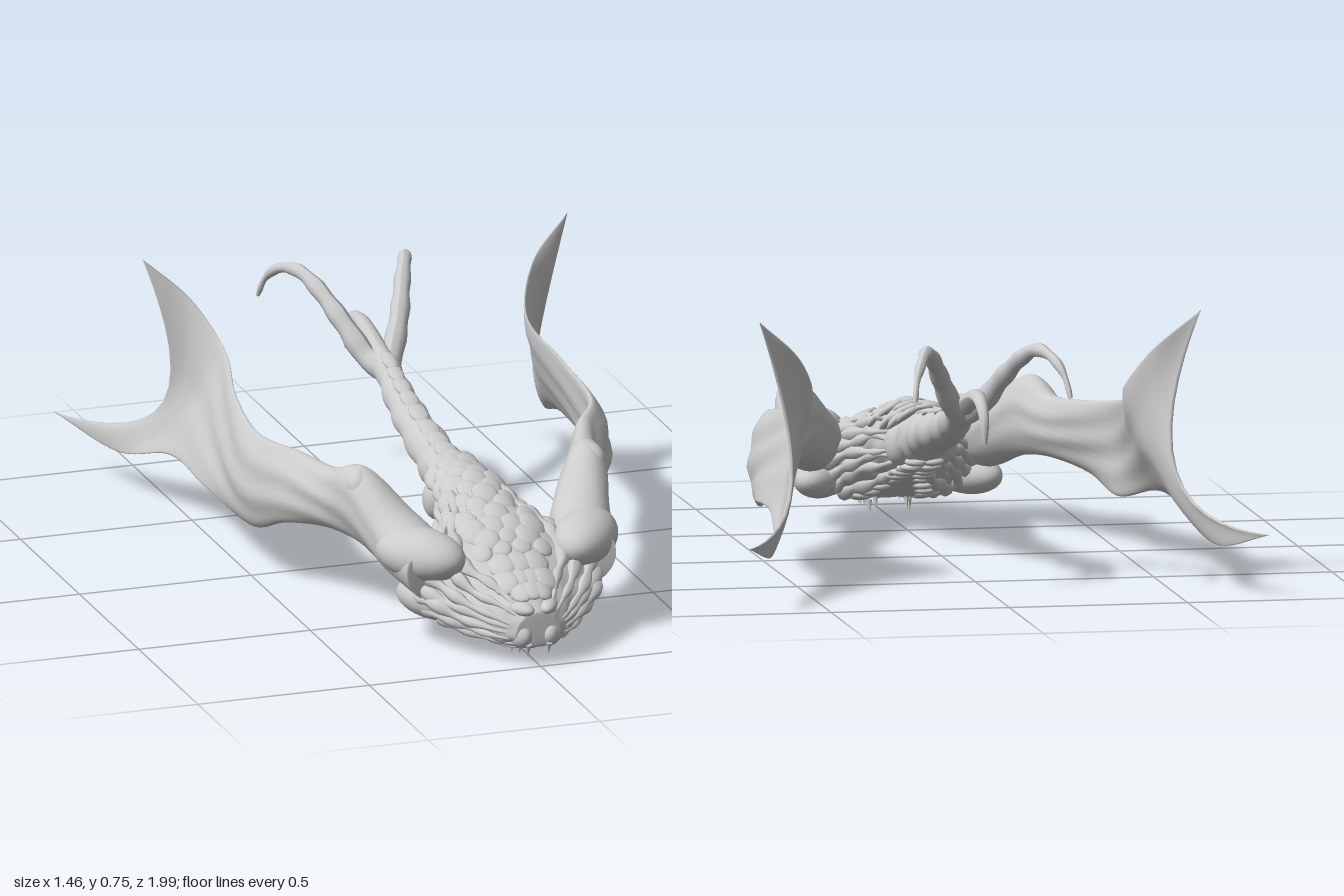
import * as THREE from 'three';

const V = (x, y, z) => new THREE.Vector3(x, y, z);
const mat = new THREE.MeshStandardMaterial({ color: 0xcccccc, side: THREE.DoubleSide });
const wave = (k) => { const s = Math.sin(k * 127.1 + 3.7) * 437.58; return s - Math.floor(s); };

// Skin a closed surface over rows x n ring points; both ends are closed with strips.
function loft(rows, n, point) {
  const pos = [], idx = [];
  for (let i = 0; i <= rows; i++)
    for (let j = 0; j < n; j++) pos.push(...point(i / rows, (j / n) * Math.PI * 2).toArray());
  for (let i = 0; i < rows; i++)
    for (let j = 0; j < n; j++) {
      const a = i * n + j, b = i * n + ((j + 1) % n);
      idx.push(a, b, a + n, b, b + n, a + n);
    }
  for (let j = 0; j < n / 2; j++) {
    const q = [j, j + 1, (n - j - 1) % n, (n - j) % n], e = rows * n;
    idx.push(q[0], q[2], q[1], q[0], q[3], q[2]);
    idx.push(e + q[0], e + q[1], e + q[2], e + q[0], e + q[2], e + q[3]);
  }
  const g = new THREE.BufferGeometry();
  g.setAttribute('position', new THREE.Float32BufferAttribute(pos, 3));
  g.setIndex(idx);
  g.computeVertexNormals();
  return g;
}

// Reflect a geometry to the other side, keeping its faces outward.
function mirrored(geo) {
  const g = geo.clone().scale(-1, 1, 1), ix = g.index;
  for (let i = 0; i < ix.count; i += 3) {
    const t = ix.getX(i);
    ix.setX(i, ix.getX(i + 1));
    ix.setX(i + 1, t);
  }
  g.computeVertexNormals();
  return g;
}

// Round tube whose radius follows a rule r(t).
function taper(points, r, seg = 32, sides = 10) {
  const curve = new THREE.CatmullRomCurve3(points.map((p) => V(...p)));
  const g = new THREE.TubeGeometry(curve, seg, 1, sides, false), p = g.attributes.position;
  for (let i = 0; i <= seg; i++) {
    const c = curve.getPointAt(i / seg);
    for (let j = 0; j <= sides; j++) {
      const k = i * (sides + 1) + j, v = V().fromBufferAttribute(p, k).sub(c);
      v.multiplyScalar(r(i / seg)).add(c);
      p.setXYZ(k, v.x, v.y, v.z);
    }
  }
  g.computeVertexNormals();
  return g;
}

// Body sections: z, bottom, top, half width
const BODY = [
  [0.98, 0.05, 0.15, 0.06], [0.94, 0.035, 0.19, 0.11], [0.85, 0.045, 0.225, 0.18], [0.75, 0.055, 0.275, 0.25],
  [0.68, 0.07, 0.305, 0.25], [0.6, 0.1, 0.335, 0.18], [0.52, 0.135, 0.355, 0.13], [0.44, 0.16, 0.365, 0.11],
  [0.37, 0.185, 0.36, 0.08], [0.3, 0.2, 0.37, 0.085], [0.22, 0.235, 0.37, 0.064], [0.1, 0.27, 0.385, 0.06],
  [-0.08, 0.315, 0.415, 0.05], [-0.2, 0.355, 0.45, 0.042], [-0.3, 0.41, 0.49, 0.036], [-0.36, 0.45, 0.5, 0.022]];
const at = (list, u, k) => {
  const f = u * (list.length - 1), i = Math.min(Math.floor(f), list.length - 2);
  return THREE.MathUtils.lerp(list[i][k], list[i + 1][k], f - i);
};
function bodyPoint(u, a, swell = 1) {
  const lo = at(BODY, u, 1), hi = at(BODY, u, 2), w = at(BODY, u, 3) * swell, c = Math.cos(a);
  const low = u < 0.4 ? 0.22 : 0.05;
  return V(w * Math.sin(a) * (1 - low * c), (lo + hi) / 2 + ((hi - lo) / 2) * c * swell, at(BODY, u, 0));
}

// Arm and wing sections: top edge, middle, bottom edge, thickness
const WING = [
  [[0.22, 0.29, 0.74], [0.22, 0.22, 0.74], [0.22, 0.13, 0.74], 0.085],
  [[0.26, 0.345, 0.58], [0.26, 0.26, 0.58], [0.25, 0.16, 0.58], 0.085],
  [[0.33, 0.435, 0.43], [0.325, 0.33, 0.43], [0.31, 0.21, 0.43], 0.062],
  [[0.36, 0.395, 0.3], [0.37, 0.31, 0.3], [0.37, 0.22, 0.3], 0.048],
  [[0.41, 0.4, 0.15], [0.44, 0.3, 0.15], [0.45, 0.195, 0.15], 0.04],
  [[0.48, 0.415, 0.03], [0.51, 0.28, 0.03], [0.495, 0.15, 0.03], 0.026],
  [[0.475, 0.455, -0.2], [0.51, 0.32, -0.2], [0.56, 0.195, -0.2], 0.016],
  [[0.44, 0.525, -0.4], [0.49, 0.36, -0.42], [0.57, 0.205, -0.47], 0.013],
  [[0.5, 0.64, -0.515], [0.515, 0.34, -0.53], [0.625, 0.125, -0.78], 0.01],
  [[0.62, 0.75, -0.57], [0.54, 0.31, -0.62], [0.73, 0.18, -1], 0.004]];
function wingGeometry() {
  const edges = [0, 1, 2].map((k) => new THREE.CatmullRomCurve3(WING.map((s) => V(...s[k]))));
  const sheet = (u, v) => {
    const w = [2 * (v - 0.5) * (v - 1), 4 * v * (1 - v), 2 * v * (v - 0.5)], p = V(0, 0, 0);
    edges.forEach((e, k) => p.addScaledVector(e.getPoint(THREE.MathUtils.clamp(u, 0, 1)), w[k]));
    return p;
  };
  return loft(110, 36, (u, a) => {
    const v = (1 - Math.cos(a)) / 2, e = 0.01;
    const down = sheet(u, v + e).sub(sheet(u, v - e));
    const back = sheet(Math.min(u + e, 1), v).sub(sheet(Math.max(u - e, 0), v));
    const n = down.cross(back).normalize();
    // soft folds running along the membrane
    const fold = 0.005 * Math.sin(v * 17 + u * 19) * Math.sin(Math.PI * v) * Math.sin(Math.PI * u);
    return sheet(u, v).addScaledVector(n, at(WING, u, 3) * Math.sin(a) + fold);
  });
}

export function createModel() {
  const root = new THREE.Group();
  root.name = 'creature';
  const add = (name, geo, parent = root) => {
    const m = new THREE.Mesh(geo, mat);
    m.name = name;
    parent.add(m);
    return m;
  };
  const pair = (name, geo, parent) => {
    add('left ' + name, geo, parent);
    add('right ' + name, mirrored(geo), parent);
  };
  const group = (name) => {
    const g = new THREE.Group();
    g.name = name;
    root.add(g);
    return g;
  };

  // Head, torso and segmented tail
  add('body', loft(150, 48, (u, a) => {
    const tail = u > 0.6 ? 0.07 * Math.sin(u * 110 + 0.8 * Math.cos(a)) : 0;
    const wrinkle = u < 0.65 ? 0.03 * Math.sin(9 * a + 14 * u) * Math.sin(u * 60) : 0;
    return bodyPoint(u, a, 1 + tail + wrinkle);
  }));

  // Arms with wing membranes
  pair('wing', wingGeometry());

  // Smooth shoulder domes and the lobes around them
  const dome = (c, r, yaw) => new THREE.SphereGeometry(1, 28, 18).scale(...r).rotateY(yaw).translate(...c);
  pair('shoulder dome', dome([0.24, 0.25, 0.68], [0.088, 0.073, 0.145], -0.55));
  pair('cheek lobe', dome([0.205, 0.125, 0.7], [0.07, 0.058, 0.13], -0.5));
  pair('elbow knob', dome([0.335, 0.385, 0.43], [0.042, 0.048, 0.06], 0.3));
  pair('hip lobe', dome([0.06, 0.27, 0.3], [0.042, 0.06, 0.045], 0));

  // Knotted folds sweeping back from the mouth around the cheeks
  const folds = group('face folds');
  for (let k = 0; k < 8; k++) {
    const a0 = 0.75 + k * 0.27;
    const path = [0.03, 0.08, 0.13, 0.18, 0.23, 0.3, 0.38, 0.47, 0.55].map((u, i) =>
      bodyPoint(u, a0 + 0.2 * (wave(i * 5 + k) - 0.5), 0.97 + 0.07 * wave(i + k * 11)).toArray());
    pair('fold ' + (k + 1), taper(path, (t) =>
      0.004 + 0.015 * Math.sin(Math.PI * t) * (1 + 0.4 * Math.sin(t * 42 + k * 2)), 56, 8), folds);
  }

  // Overlapping back scales in staggered rows
  const scales = group('back scales');
  for (let r = 0; r < 15; r++) {
    const u = 0.08 + r * 0.039, count = r % 2 ? 4 : 3;
    for (let c = 0; c < count; c++) {
      const a = (c - (count - 1) / 2) * (u < 0.3 ? 0.32 : 0.62), p = bodyPoint(u, a, 0.97);
      const s = 0.8 + 0.4 * wave(r * 7 + Math.abs(c - (count - 1) / 2));
      const g = new THREE.SphereGeometry(1, 12, 8).scale(0.036 * s, 0.014 * s, 0.044 * s);
      g.rotateX(0.4).rotateZ(-a * 0.8).translate(p.x, p.y, p.z);
      add('scale', g, scales);
    }
  }

  // Flat plates down the ridge of the tail
  for (let r = 0; r < 8; r++) {
    const p = bodyPoint(0.68 + r * 0.034, 0, 0.95), w = 0.032 - r * 0.0015;
    add('tail plate', new THREE.SphereGeometry(1, 12, 8).scale(w, 0.011, 0.045).rotateX(0.3).translate(p.x, p.y, p.z), scales);
  }

  // Scales under the belly
  const belly = group('belly scales');
  for (let r = 0; r < 11; r++) {
    const p = bodyPoint(0.14 + r * 0.05, Math.PI - 0.3, 0.98);
    pair('belly scale', new THREE.SphereGeometry(1, 12, 8).scale(0.034, 0.013, 0.036).translate(p.x, p.y, p.z), belly);
  }

  // Split jaw tip and brow nubs
  pair('mouth lobe', dome([0.045, 0.08, 0.955], [0.028, 0.036, 0.04], -0.4));
  pair('brow nub', dome([0.04, 0.155, 0.945], [0.026, 0.02, 0.05], -0.4));
  pair('lip nub', dome([0.085, 0.11, 0.92], [0.025, 0.035, 0.045], -0.6));

  // Teeth along the lower jaw
  const teeth = group('teeth');
  for (let k = 0; k < 9; k++) {
    const h = 0.035 + 0.015 * wave(k), z = 0.98 - k * 0.03;
    const tooth = new THREE.ConeGeometry(0.009, h, 7).rotateX(Math.PI + 0.25);
    pair('tooth', tooth.translate(0.03 + 0.04 * Math.sin(k * 0.35), (k === 7 ? 0.022 : 0.042), z), teeth);
  }

  // Forked tail tip: two long side prongs and a short middle one
  pair('tail prong', taper([[0, 0.44, -0.31], [0.035, 0.465, -0.36], [0.08, 0.545, -0.43], [0.125, 0.625, -0.53],
    [0.155, 0.655, -0.6], [0.185, 0.64, -0.68], [0.207, 0.597, -0.73], [0.218, 0.54, -0.76]],
    (t) => 0.03 * (1 - t) ** 0.7 + 0.004 + 0.002 * Math.sin(t * 40)));
  add('middle tail prong', taper([[0, 0.45, -0.3], [0, 0.485, -0.4], [0, 0.515, -0.51], [0, 0.51, -0.58],
    [0, 0.47, -0.63], [0, 0.4, -0.645]], (t) => 0.028 * (1 - t) ** 0.6 + 0.004));
  return root;
}
